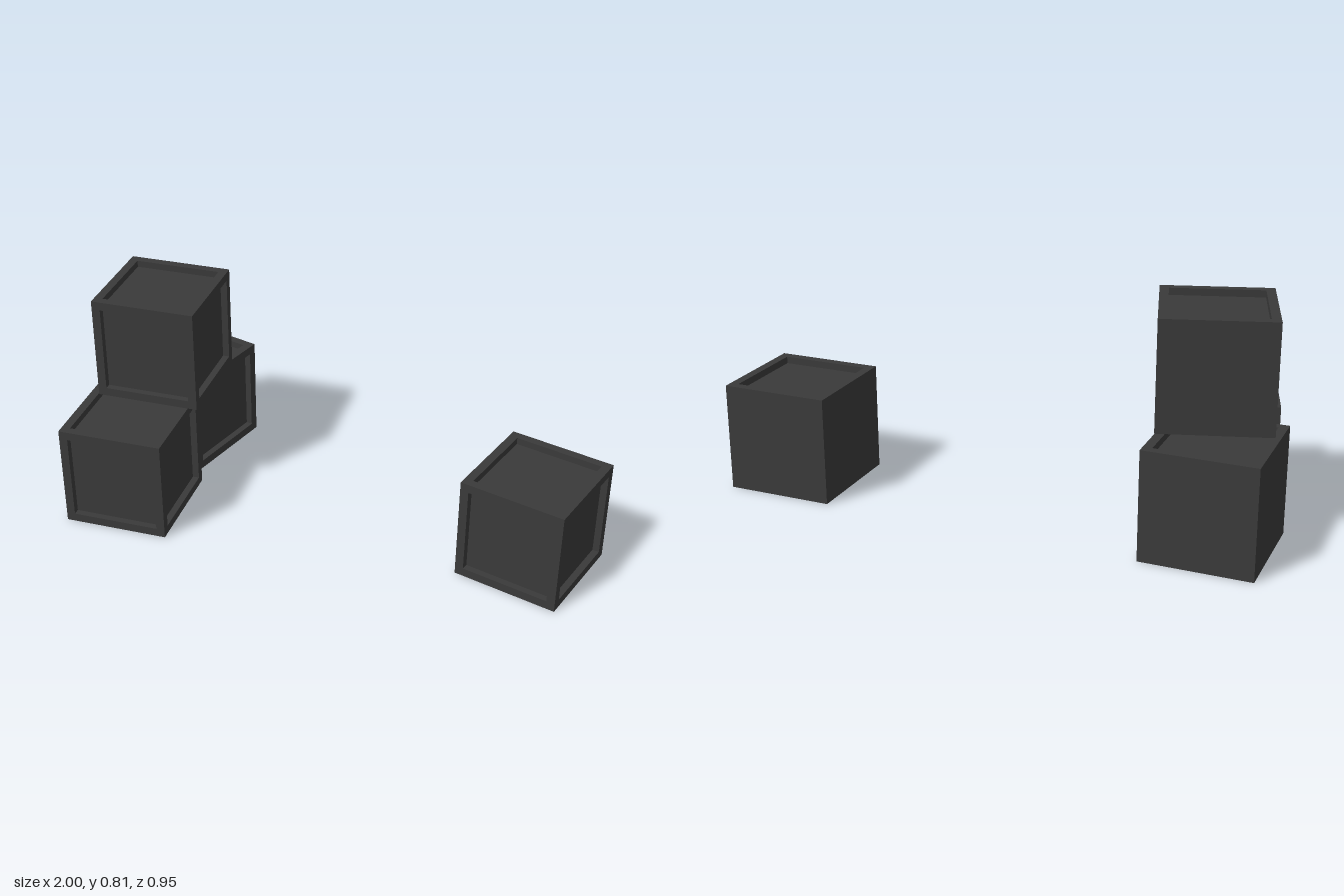
import * as THREE from 'three';
import { mergeGeometries } from 'three/addons/utils/BufferGeometryUtils.js';

const SIZE = 0.404;    // crate edge length
const MARGIN = 0.033;  // width of the frame round a panel
const DEPTH = 0.026;   // how far a panel is sunk
const H = SIZE / 2;
const P = H - MARGIN;

const square = (PathType, r) =>
  new PathType([[-r, -r], [r, -r], [r, r], [-r, r]].map(([x, y]) => new THREE.Vector2(x, y)));

// Flat side facing +z
const plainSide = () => new THREE.PlaneGeometry(SIZE, SIZE).translate(0, 0, H);

// Side facing +z with a frame, four inner walls and a sunken panel
function panelledSide() {
  const frame = square(THREE.Shape, H);
  frame.holes.push(square(THREE.Path, P));
  const parts = [
    new THREE.ShapeGeometry(frame).translate(0, 0, H),
    new THREE.PlaneGeometry(2 * P, 2 * P).translate(0, 0, H - DEPTH),
  ];
  for (let i = 0; i < 4; i++) {
    parts.push(new THREE.PlaneGeometry(2 * P, DEPTH)
      .rotateX(-Math.PI / 2)
      .translate(0, -P, H - DEPTH / 2)
      .rotateZ(i * Math.PI / 2));
  }
  return mergeGeometries(parts);
}

// Front, left-hand (+x) and top are panelled; the other three are plain
function crateGeometry() {
  const q = Math.PI / 2;
  return mergeGeometries([
    panelledSide(),
    panelledSide().rotateY(q),
    panelledSide().rotateX(-q),
    plainSide().rotateY(2 * q),
    plainSide().rotateY(-q),
    plainSide().rotateX(q),
  ]);
}

export function createModel() {
  const model = new THREE.Group();
  model.name = 'crates';
  const geometry = crateGeometry();
  const material = new THREE.MeshStandardMaterial({ color: 0x3a3a3a });
  const turn = THREE.MathUtils.degToRad(17);

  // name, x, level, z, turn about the vertical
  const crates = [
    ['separateCrate', 0.798, 0, -0.274, 0],
    ['backCrate', -0.798, 0, -0.274, 0],
    ['frontCrate', -0.678, 0, 0.223, turn],
    ['topCrate', -0.729, 1, -0.068, turn],
  ];
  for (const [name, x, level, z, angle] of crates) {
    const crate = new THREE.Mesh(geometry, material);
    crate.name = name;
    crate.position.set(x, H + level * SIZE, z);
    crate.rotation.y = angle;
    model.add(crate);
  }
  return model;
}
